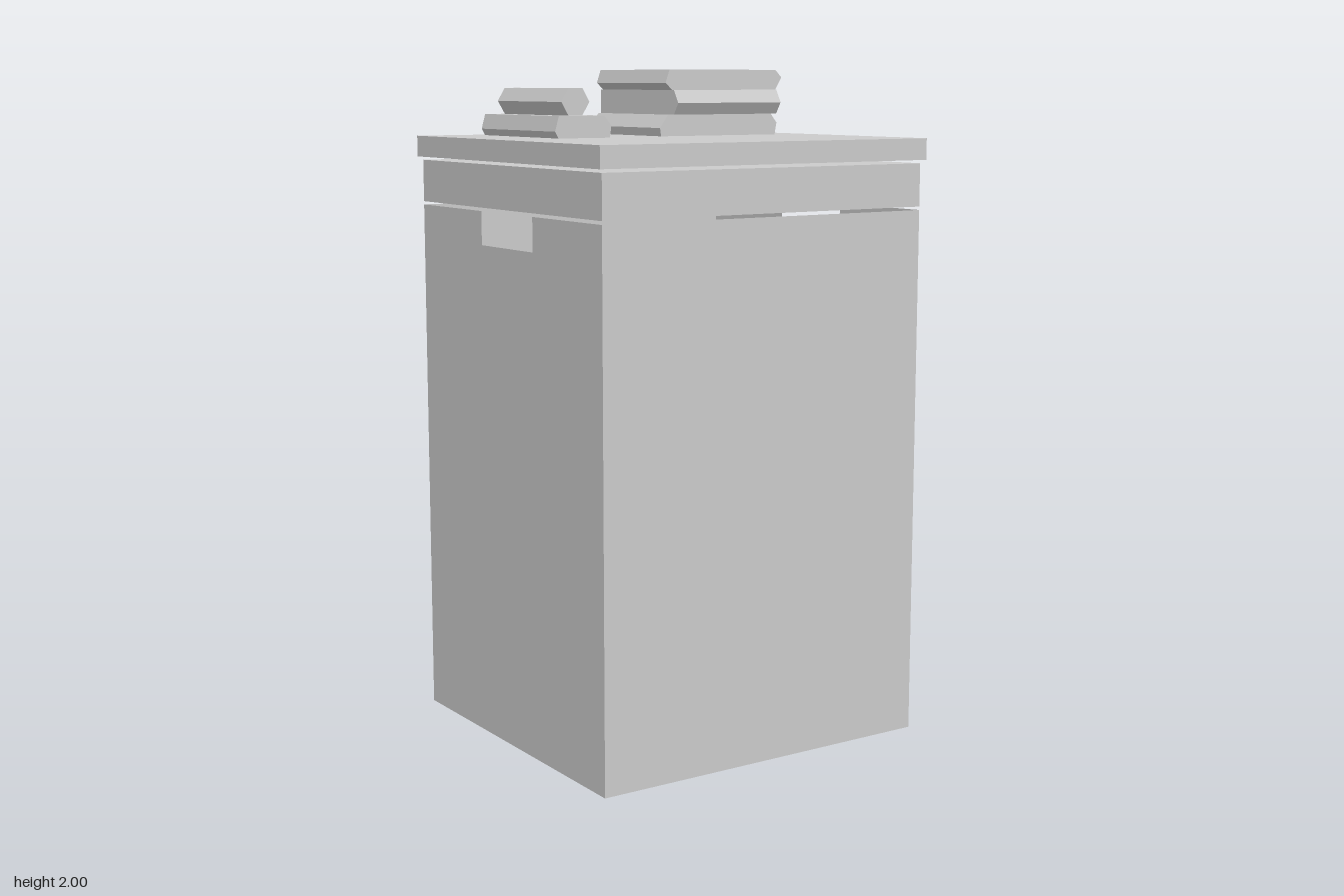
import * as THREE from 'three';

const solid = new THREE.MeshStandardMaterial({ color: 0xcccccc, flatShading: true });
const thin = new THREE.MeshStandardMaterial({ color: 0xcccccc, flatShading: true, side: THREE.DoubleSide });

function add(parent, name, geometry, material = solid) {
  const mesh = new THREE.Mesh(geometry, material);
  mesh.name = name;
  parent.add(mesh);
  return mesh;
}

const outline = (points) => new THREE.Shape(points.map(([x, y]) => new THREE.Vector2(x, y)));

// Prism with an x/y profile, running from z0 to z1
function prism(points, z0, z1) {
  const g = new THREE.ExtrudeGeometry(outline(points), { depth: z1 - z0, bevelEnabled: false });
  return g.translate(0, 0, z0);
}

// Box between two heights, centred on the y axis
function slab(width, depth, y0, y1) {
  return new THREE.BoxGeometry(width, y1 - y0, depth).translate(0, (y0 + y1) / 2, 0);
}

export function createModel() {
  const model = new THREE.Group();
  model.name = 'cabinet';

  // Hollow body of thin panels, with a hand notch in each side
  const W = 1.1, D = 1.044, H = 1.59, notch = 0.15, notchY = 1.49;
  const body = new THREE.Group();
  body.name = 'body';
  model.add(body);
  const sideShape = outline([
    [-D / 2, 0], [D / 2, 0], [D / 2, H], [notch, H], [notch, notchY],
    [-notch, notchY], [-notch, H], [-D / 2, H],
  ]);
  for (const s of [1, -1]) {
    const side = add(body, s > 0 ? 'leftPanel' : 'rightPanel', new THREE.ShapeGeometry(sideShape), thin);
    side.rotation.y = s * Math.PI / 2;
    side.position.x = s * W / 2;
    const panel = add(body, s > 0 ? 'frontPanel' : 'backPanel', new THREE.PlaneGeometry(W, H), thin);
    panel.rotation.y = s > 0 ? 0 : Math.PI;
    panel.position.set(0, H / 2, s * D / 2);
  }
  add(body, 'floorPanel', new THREE.PlaneGeometry(W, D).rotateX(Math.PI / 2), thin);

  // Drawer band and overhanging top, each separated by a narrow gap
  add(model, 'upperBand', slab(W, D, 1.6, 1.727));
  add(model, 'topBoard', slab(1.126, 1.068, 1.737, 1.8));

  // Small bar resting on a low base
  add(model, 'barBase', prism([
    [-0.357, 1.8], [-0.18, 1.8], [-0.175, 1.836], [-0.2, 1.865], [-0.355, 1.865], [-0.368, 1.82],
  ], -0.48, -0.03));
  add(model, 'bar', prism([
    [-0.302, 1.865], [-0.255, 1.865], [-0.23, 1.905], [-0.253, 1.945], [-0.302, 1.945], [-0.326, 1.905],
  ], -0.45, -0.064));

  // Stack of three books
  const stack = new THREE.Group();
  stack.name = 'bookStack';
  model.add(stack);
  add(stack, 'bottomBook', prism([
    [0.02, 1.8], [0.448, 1.8], [0.455, 1.837], [0.432, 1.865], [0.045, 1.865], [0.016, 1.825],
  ], -0.46, -0.058));
  add(stack, 'topBook', prism([
    [0.045, 1.939], [0.432, 1.939], [0.455, 1.977], [0.432, 2], [0.035, 2], [0.021, 1.96],
  ], -0.43, -0.035));

  // Middle book lies crosswise and slightly turned, ridge to the front
  const middle = add(stack, 'middleBook', prism([
    [-0.21, 1.865], [0.19, 1.865], [0.212, 1.9], [0.19, 1.939], [-0.21, 1.939],
  ], -0.197, 0.197).rotateY(-Math.PI / 2));
  middle.position.set(0.242, 0, -0.23);
  middle.rotation.y = 0.03;

  return model;
}
